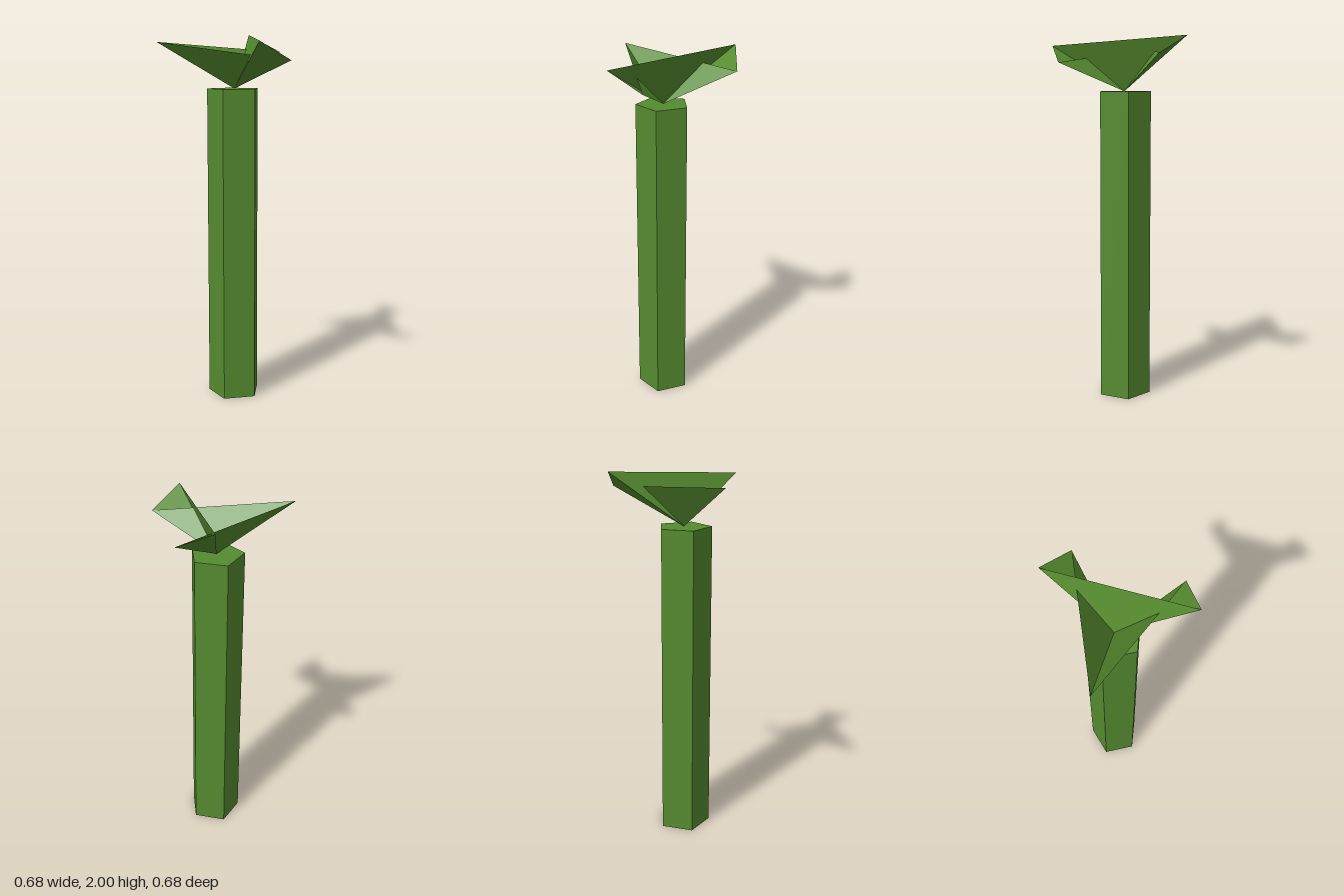
import * as THREE from 'three';

export function createModel() {
  const group = new THREE.Group();
  const green = new THREE.MeshStandardMaterial({ color: 0x558b2f, flatShading: true, side: THREE.DoubleSide });
  const height = 1.71, cx = -0.05, cz = 0.048;

  // Five-sided stalk, one corner pointing to +x
  const stalk = new THREE.Mesh(new THREE.CylinderGeometry(0.147, 0.147, height, 5, 1, false, Math.PI / 2), green);
  stalk.name = 'stalk';
  stalk.position.set(cx, height / 2, cz);
  group.add(stalk);

  // Crown of thin leaves: a closed fan from the stalk top through crossing tips
  const tips = [
    [-0.34, 1.955, 0.34],
    [-0.05, 1.905, -0.34],
    [-0.243, 2.0, -0.293],
    [0.292, 1.955, 0.241],
    [0.34, 1.86, 0.048],
  ];
  const base = [cx, height, cz];
  const crown = new THREE.Group();
  crown.name = 'crown';
  tips.forEach((tip, i) => {
    const next = tips[(i + 1) % tips.length];
    const geometry = new THREE.BufferGeometry();
    geometry.setAttribute('position', new THREE.Float32BufferAttribute([...base, ...tip, ...next], 3));
    geometry.computeVertexNormals();
    const leaf = new THREE.Mesh(geometry, green);
    leaf.name = `leaf${i + 1}`;
    crown.add(leaf);
  });
  group.add(crown);
  return group;
}
